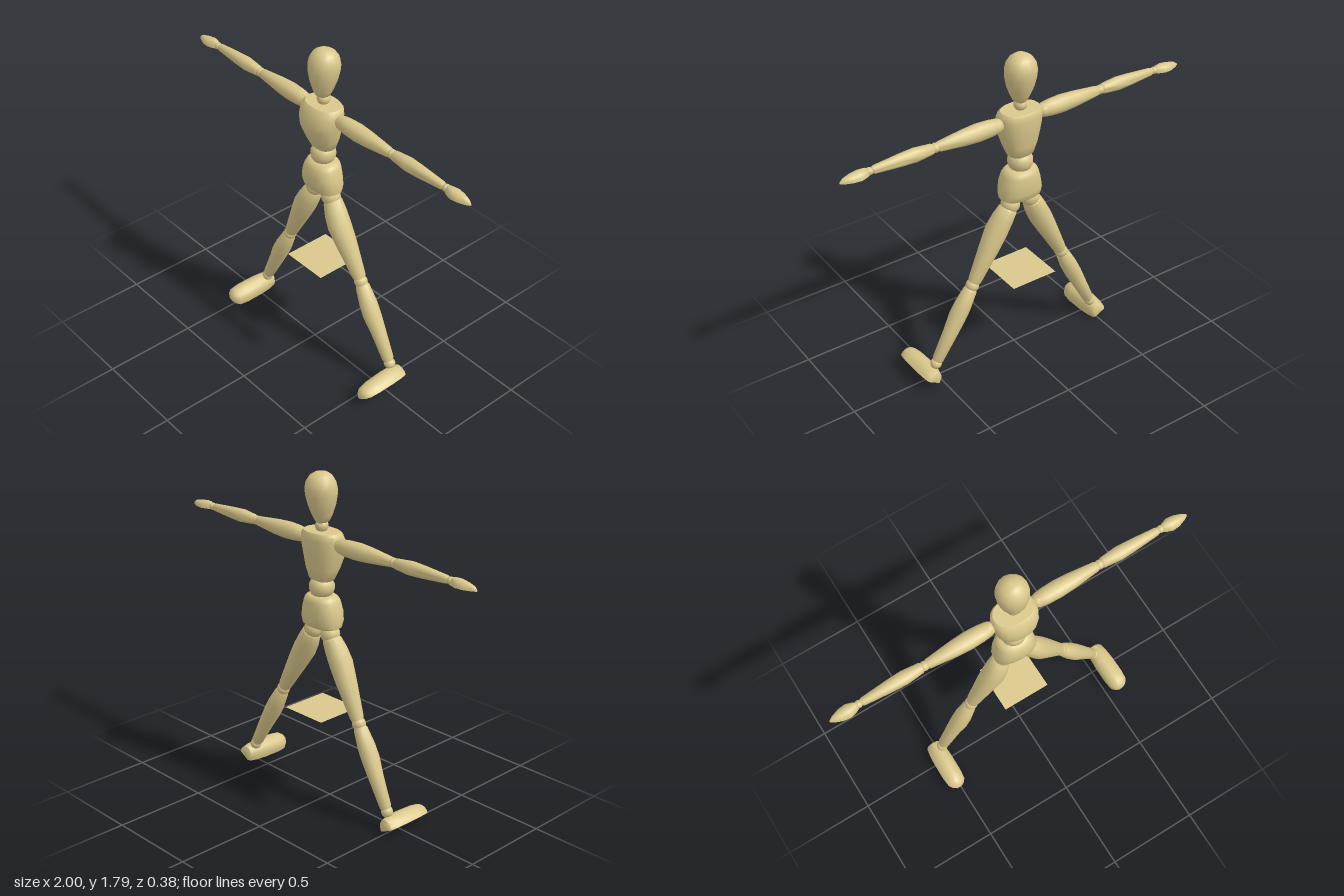
import * as THREE from 'three';
import { toCreasedNormals } from 'three/addons/utils/BufferGeometryUtils.js';

const wood = new THREE.MeshStandardMaterial({ color: 0xd9c78a });
const woodSheet = new THREE.MeshStandardMaterial({ color: 0xd9c78a, side: THREE.DoubleSide });
const Z = -0.055; // depth of the body axis

// Closed skin over cross-sections stacked along y.
// Station: [y, half width, half depth = half width, centre z = 0]
function loft(stations, { sides = 16, power = 1, dome = false, crease = 0.75 } = {}) {
  const pos = [], index = [];
  const soft = (v) => Math.sign(v) * Math.abs(v) ** power;
  for (const [y, rx, rz = rx, cz = 0] of stations) {
    for (let i = 0; i < sides; i++) {
      const a = (i / sides) * Math.PI * 2;
      const s = dome ? Math.max(0, Math.sin(a)) : Math.sin(a);
      pos.push(rx * soft(Math.cos(a)), y, cz + rz * soft(s));
    }
  }
  const last = stations.length - 1;
  for (let j = 0; j < last; j++) {
    for (let i = 0; i < sides; i++) {
      const k = (i + 1) % sides;
      const a = j * sides + i, b = j * sides + k;
      index.push(a, a + sides, b, b, a + sides, b + sides);
    }
  }
  // End caps
  for (const j of [0, last]) {
    const [y, , rz, cz = 0] = stations[j];
    const centre = pos.length / 3;
    pos.push(0, y, dome ? rz * 0.3 : cz);
    for (let i = 0; i < sides; i++) {
      const a = j * sides + i, b = j * sides + ((i + 1) % sides);
      if (j === 0) index.push(centre, a, b);
      else index.push(centre, b, a);
    }
  }
  const geo = new THREE.BufferGeometry();
  geo.setAttribute('position', new THREE.Float32BufferAttribute(pos, 3));
  geo.setIndex(index);
  return toCreasedNormals(geo, crease);
}

function part(parent, name, geo, x = 0, y = 0, z = 0) {
  const mesh = new THREE.Mesh(geo, wood);
  mesh.name = name;
  mesh.position.set(x, y, z);
  parent.add(mesh);
  return mesh;
}

const ball = (r) => new THREE.SphereGeometry(r, 14, 10);

// Arm along +y from the shoulder, turned sideways
function makeArm(s) {
  const arm = new THREE.Group();
  arm.name = s > 0 ? 'leftArm' : 'rightArm';
  const o = { sides: 10 };
  part(arm, 'shoulderJoint', ball(0.037), 0, 0.14);
  part(arm, 'upperArm', loft([[0.125, 0.03], [0.135, 0.037], [0.18, 0.043], [0.25, 0.046],
    [0.33, 0.041], [0.47, 0.026], [0.482, 0.02]], o));
  part(arm, 'elbowJoint', ball(0.025), 0, 0.49);
  part(arm, 'forearm', loft([[0.498, 0.02], [0.508, 0.027], [0.6, 0.036], [0.68, 0.032],
    [0.82, 0.021], [0.832, 0.016]], o));
  part(arm, 'wristJoint', ball(0.02), 0, 0.845);
  const hand = loft([[0.852, 0.016, 0.03], [0.865, 0.024, 0.037], [0.9, 0.036, 0.037],
    [0.94, 0.032, 0.031], [0.98, 0.017, 0.022], [1.0, 0.004, 0.008]], { dome: true });
  hand.rotateY(-s * Math.PI / 2);
  part(arm, 'hand', hand, s * 0.013);
  arm.position.set(0, 1.437, Z);
  arm.rotation.z = -s * Math.PI / 2;
  return arm;
}

// Straight leg along +y from the hip, swung down and outwards
function makeLeg(s, angle) {
  const leg = new THREE.Group();
  leg.name = s > 0 ? 'leftLeg' : 'rightLeg';
  const o = { sides: 12 };
  part(leg, 'hipJoint', ball(0.051));
  part(leg, 'thigh', loft([[0.018, 0.04], [0.03, 0.05], [0.09, 0.058, 0.059, 0.006],
    [0.16, 0.061, 0.063, 0.01], [0.25, 0.054, 0.057, 0.006], [0.44, 0.036, 0.037],
    [0.458, 0.032]], o));
  part(leg, 'kneeJoint', ball(0.036), 0, 0.477);
  part(leg, 'shin', loft([[0.495, 0.032], [0.505, 0.037], [0.6, 0.046, 0.048, 0.002],
    [0.67, 0.046, 0.049, 0.003], [0.76, 0.04, 0.041], [0.92, 0.031], [0.932, 0.026]], o));
  part(leg, 'ankleJoint', ball(0.031), 0, 0.948);
  const foot = loft([[-0.052, 0.032, 0.04], [-0.042, 0.044, 0.058], [0, 0.053, 0.068],
    [0.06, 0.058, 0.069], [0.16, 0.059, 0.063], [0.21, 0.053, 0.054], [0.23, 0.036, 0.042],
    [0.241, 0.014, 0.02]], { dome: true });
  foot.rotateX(Math.PI / 2);
  part(leg, 'foot', foot, 0, 1.035, 0);
  leg.position.set(s * 0.06, 0.957, Z);
  leg.rotation.z = Math.PI + s * THREE.MathUtils.degToRad(angle);
  return leg;
}

export function createModel() {
  const model = new THREE.Group();
  model.name = 'jointedFigure';

  // Egg-shaped head, narrowing to the chin
  part(model, 'head', loft([[1.53, 0.024, 0.027], [1.54, 0.037, 0.038, 0.004],
    [1.57, 0.051, 0.053, 0.003], [1.62, 0.07, 0.07, 0.001], [1.67, 0.081, 0.079, -0.002],
    [1.705, 0.083, 0.081, -0.004], [1.74, 0.076, 0.074, -0.005], [1.768, 0.058, 0.056, -0.004],
    [1.784, 0.033, 0.032, -0.002], [1.79, 0.008]], { crease: 1.2 }), 0, 0, Z);
  part(model, 'neckJoint', ball(0.034), 0, 1.514, Z);

  // Torso
  part(model, 'chest', loft([[1.235, 0.06, 0.045], [1.243, 0.071, 0.053, 0],
    [1.3, 0.092, 0.074, 0.007], [1.37, 0.111, 0.091, 0.016], [1.41, 0.118, 0.094, 0.015],
    [1.45, 0.12, 0.088, 0.009], [1.478, 0.116, 0.08, 0.003], [1.49, 0.104, 0.071, 0.001]],
  { sides: 20, power: 0.85 }), 0, 0, Z);
  part(model, 'waistJoint', loft([[1.152, 0.045], [1.162, 0.056], [1.18, 0.064], [1.197, 0.066],
    [1.214, 0.064], [1.232, 0.055], [1.24, 0.045]]), 0, 0, Z);
  part(model, 'pelvis', loft([[0.99, 0.104, 0.064], [0.997, 0.115, 0.074, 0.002],
    [1.03, 0.12, 0.083, 0.004], [1.08, 0.111, 0.086, 0.005], [1.125, 0.098, 0.08, 0.003],
    [1.146, 0.088, 0.071], [1.156, 0.074, 0.058]], { sides: 20, power: 0.85 }), 0, 0, Z);

  // Limbs, with the left leg swung a little wider
  model.add(makeArm(1), makeArm(-1), makeLeg(1, 30), makeLeg(-1, 26));

  // Thin square sheet between the legs
  const sheet = new THREE.PlaneGeometry(0.265, 0.265).rotateX(-Math.PI / 2);
  part(model, 'sheet', sheet, 0, 0.53, -0.057).material = woodSheet;

  return model;
}
